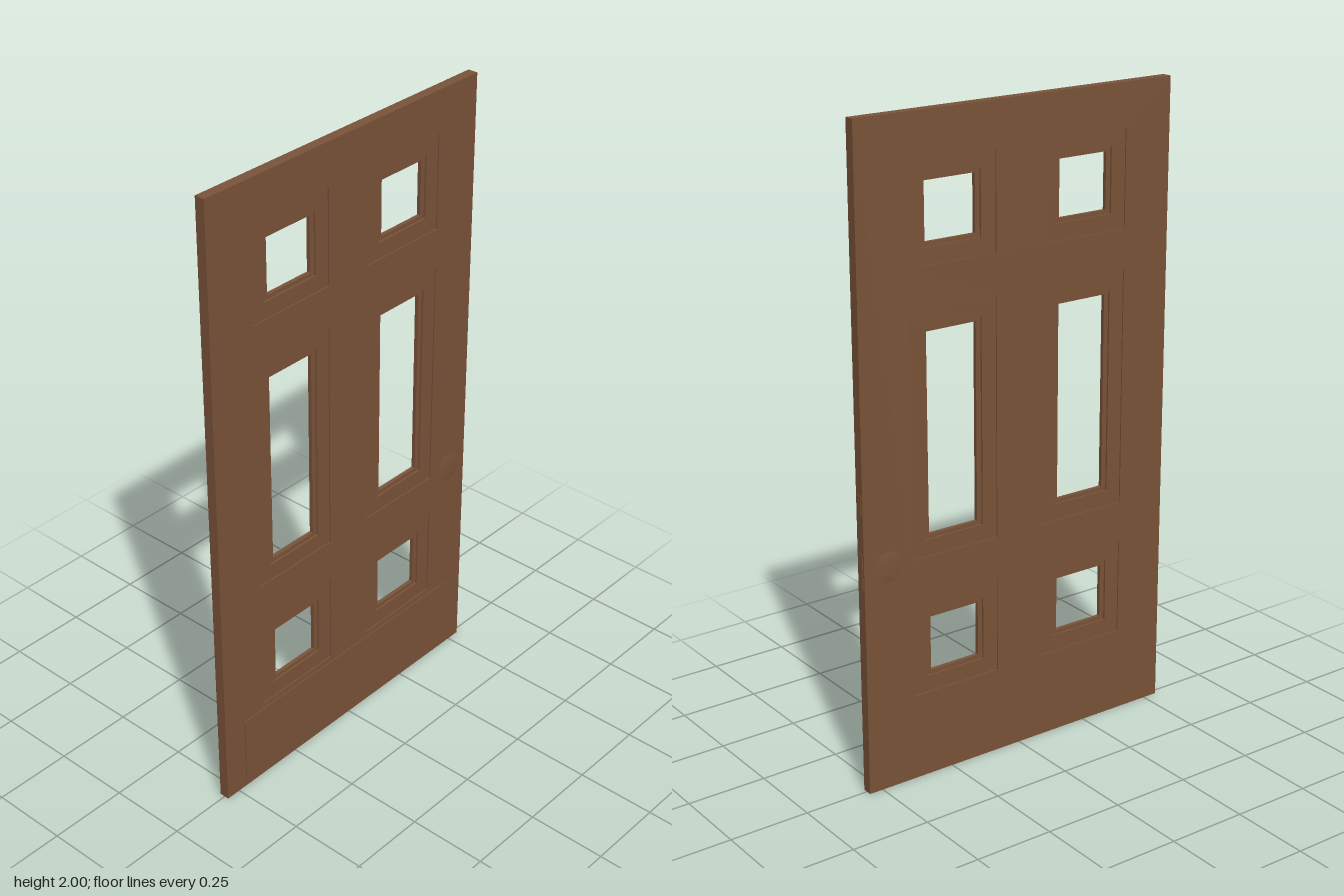
import * as THREE from 'three';

const wood = new THREE.MeshStandardMaterial({ color: 0x7b5439, flatShading: true });

function rectPoints(x0, y0, x1, y1) {
  return [[x0, y0], [x1, y0], [x1, y1], [x0, y1]].map(([x, y]) => new THREE.Vector2(x, y));
}

// Flat plate with rectangular openings, spanning z0..z1
function plate(name, rect, holes, z0, z1) {
  const shape = new THREE.Shape(rectPoints(...rect));
  for (const h of holes) shape.holes.push(new THREE.Path(rectPoints(...h).reverse()));
  const geo = new THREE.ExtrudeGeometry(shape, { depth: z1 - z0, bevelEnabled: false });
  geo.translate(0, 0, z0);
  const mesh = new THREE.Mesh(geo, wood);
  mesh.name = name;
  return mesh;
}

const inset = ([x0, y0, x1, y1], dx, dy) => [x0 + dx, y0 + dy, x1 - dx, y1 - dy];

function box(name, w, h, d, x, y, z) {
  const mesh = new THREE.Mesh(new THREE.BoxGeometry(w, h, d), wood);
  mesh.name = name;
  mesh.position.set(x, y, z);
  return mesh;
}

export function createModel() {
  const door = new THREE.Group();
  door.name = 'door';
  const back = -0.0175, front = 0.0145;

  // Two columns by three rows of framed openings
  const panels = [];
  for (const x of [-0.385, 0.08])
    for (const [y0, y1] of [[0.27, 0.57], [0.703, 1.44], [1.567, 1.868]])
      panels.push([x, y0, x + 0.302, y1]);

  door.add(plate('slab', [-0.548, 0, 0.545, 2], panels, back, front));

  // Recessed panel and thinner inner stop around each opening
  for (const p of panels) {
    const opening = inset(p, 0.05, 0.051);
    door.add(plate('recessedPanel', p, [opening], back + 0.004, front - 0.004));
    door.add(plate('openingStop', opening, [inset(opening, 0.016, 0.013)], back + 0.01, front - 0.01));
  }

  // Kick plate along the bottom of the front
  door.add(plate('kickPlate', [-0.468, 0.015, 0.464, 0.252], [], front - 0.002, front + 0.003));

  // Shallow faceted knobs on both faces
  const profile = [[0.026, 0], [0.05, 0.0015], [0.051, 0.003], [0.032, 0.005], [0, 0.006]]
    .map(([r, h]) => new THREE.Vector2(r, h));
  for (const side of [1, -1]) {
    const knob = new THREE.Mesh(new THREE.LatheGeometry(profile, 9), wood);
    knob.name = side > 0 ? 'frontKnob' : 'backKnob';
    knob.rotation.x = side * Math.PI / 2;
    knob.position.set(0.464, 0.705, side > 0 ? front - 0.0005 : back + 0.0015);
    door.add(knob);
  }

  // Latch plates on the left edge
  door.add(box('deadboltPlate', 0.003, 0.06, 0.02, 0.546, 0.91, -0.0015));
  door.add(box('latchPlate', 0.003, 0.11, 0.02, 0.546, 0.705, -0.0015));

  // Small hinge barrels on the right edge
  for (const y of [0.15, 1.32]) {
    const hinge = new THREE.Mesh(new THREE.CylinderGeometry(0.004, 0.004, 0.025, 8), wood);
    hinge.name = 'hinge';
    hinge.position.set(-0.546, y, front);
    door.add(hinge);
  }
  return door;
}
